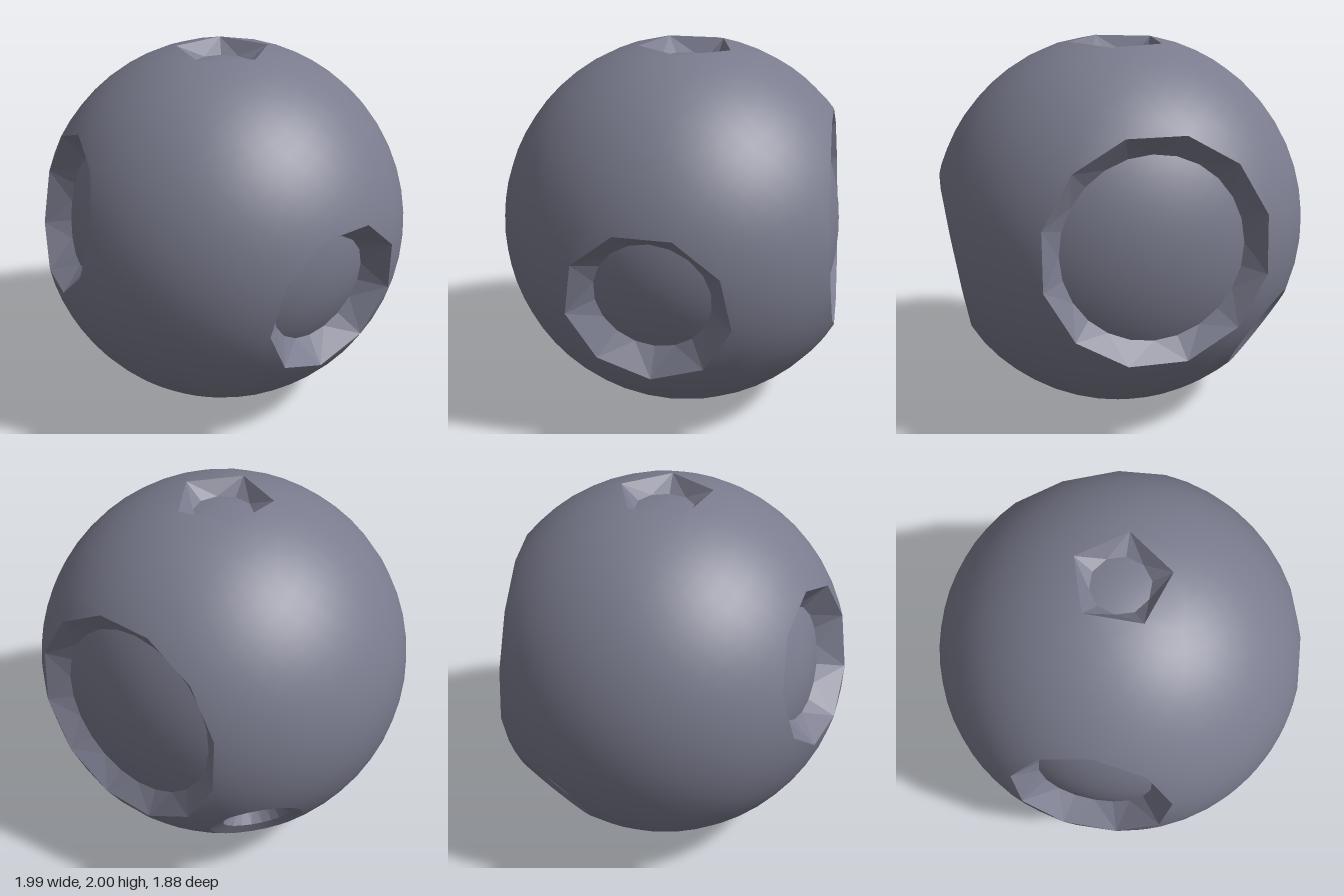
import * as THREE from 'three';
import { ConvexGeometry } from 'three/addons/geometries/ConvexGeometry.js';

const R = 1.015; // ball radius
const CENTRE = [0.02, 1.015, -0.07];

// axis: outward direction, first: direction of the first rim corner
// rim: corner radius, floor: floor radius, floorY: floor edge distance from the ball's centre
// dome: rise of the floor, shoulder + rimY: dip of the ball's skin around a sunken rim
const CRATERS = [
  { name: 'frontCrater', axis: [-0.30, 0.195, 0.934], first: [0, 1, 0], sides: 9, rim: 0.435, floor: 0.308, floorY: 0.797, dome: 0.055 },
  { name: 'leftCrater', axis: [0.985, -0.17, 0], first: [0, -1, 0], sides: 9, rim: 0.437, floor: 0.31, floorY: 0.797, dome: 0.055 },
  { name: 'backCrater', axis: [-0.07, 0.06, -0.995], first: [0.26, 0.97, 0], sides: 12, rim: 0.597, floor: 0.48, floorY: 0.737, dome: 0.11 },
  { name: 'topCrater', axis: [0, 1, 0], first: [1, 0, 0], sides: 5, rim: 0.26, floor: 0.158, floorY: 0.905, dome: 0.015 },
  { name: 'lowerFrontCrater', axis: [0.14, -0.89, 0.427], first: [1, 0, 0], sides: 20, rim: 0.143, floor: 0.115, floorY: 0.885, dome: 0.01, shoulder: 0.21, rimY: 0.968 },
  { name: 'lowerBackCrater', axis: [-0.69, -0.52, -0.504], first: [0, 1, 0], sides: 20, rim: 0.178, floor: 0.148, floorY: 0.88, dome: 0.013, shoulder: 0.25, rimY: 0.962 },
];

// Local frame of a crater: y points outward, x to the first rim corner
function craterFrame(c) {
  const y = new THREE.Vector3(...c.axis).normalize();
  const x = new THREE.Vector3(...c.first);
  x.addScaledVector(y, -x.dot(y)).normalize();
  return new THREE.Matrix4().makeBasis(x, y, x.clone().cross(y));
}

const ring = (r, y, a) => new THREE.Vector3(r * Math.cos(a), y, r * Math.sin(a));

// Smooth ball with polygonal openings where the craters sit
function shellGeometry(craters) {
  const points = [];
  const count = 1000;
  for (let i = 0; i < count; i++) {
    const y = 1 - (2 * i + 1) / count;
    const p = ring(R * Math.sqrt(1 - y * y), R * y, i * Math.PI * (3 - Math.sqrt(5)));
    if (craters.every(c => p.dot(c.dir) < c.openY - 0.012)) points.push(p);
  }
  for (const c of craters) {
    for (let k = 0; k < c.sides; k++) {
      points.push(ring(c.open, c.openY, (2 * Math.PI * k) / c.sides).applyMatrix4(c.frame));
    }
  }
  const hull = new ConvexGeometry(points).getAttribute('position');
  const kept = [];
  for (let i = 0; i < hull.count; i += 3) {
    const tri = [0, 1, 2].map(j => new THREE.Vector3().fromBufferAttribute(hull, i + j));
    // drop the flat lids that span a crater opening
    const isLid = craters.some(c => tri.every(p => p.dot(c.dir) > c.openY - 0.004));
    if (!isLid) kept.push(...tri);
  }
  const geometry = new THREE.BufferGeometry().setFromPoints(kept);
  const normals = kept.flatMap(p => p.clone().normalize().toArray());
  geometry.setAttribute('normal', new THREE.Float32BufferAttribute(normals, 3));
  return geometry;
}

// Faceted slope from the polygonal rim down to the rounder floor edge
function wallGeometry(c) {
  const step = Math.PI / c.sides;
  const tris = [];
  for (let k = 0; k < c.sides; k++) {
    const a = 2 * k * step;
    const r0 = ring(c.rim, c.rimY, a);
    const r1 = ring(c.rim, c.rimY, a + 2 * step);
    const [f0, f1, f2] = [0, 1, 2].map(j => ring(c.floor, c.floorY, a + j * step));
    tris.push(r0, f0, f1, r0, f1, r1, r1, f1, f2);
  }
  // wind the corners so the slope faces the crater's axis
  const n = tris[1].clone().sub(tris[0]).cross(tris[2].clone().sub(tris[0]));
  if (n.y < 0) tris.reverse();
  const geometry = new THREE.BufferGeometry().setFromPoints(tris);
  geometry.computeVertexNormals();
  return geometry;
}

// Gently domed floor, a spherical cap sitting on the floor edge
function floorGeometry(c) {
  const radius = (c.floor ** 2 + c.dome ** 2) / (2 * c.dome);
  const cap = new THREE.SphereGeometry(
    radius, c.sides * 2, 6, 0, Math.PI * 2, 0, Math.asin(c.floor / radius));
  return cap.translate(0, c.floorY + c.dome - radius, 0);
}

// Smooth dip from the ball's skin to a sunken rim
function shoulderGeometry(c) {
  return new THREE.LatheGeometry(
    [new THREE.Vector2(c.open, c.openY), new THREE.Vector2(c.rim, c.rimY)], c.sides);
}

export function createModel() {
  const stone = new THREE.MeshStandardMaterial({ color: 0x7a7b8d });
  stone.name = 'greyStone';
  const model = new THREE.Group();
  model.name = 'crateredBall';

  const craters = CRATERS.map(c => {
    const frame = craterFrame(c);
    const dir = new THREE.Vector3().setFromMatrixColumn(frame, 1);
    const open = c.shoulder ?? c.rim;
    const openY = Math.sqrt(R * R - open * open);
    return { ...c, frame, dir, open, openY, rimY: c.rimY ?? openY };
  });

  const add = (parent, name, geometry) => {
    const mesh = new THREE.Mesh(geometry, stone);
    mesh.name = name;
    parent.add(mesh);
  };

  add(model, 'shell', shellGeometry(craters));

  for (const c of craters) {
    const group = new THREE.Group();
    group.name = c.name;
    add(group, 'craterWall', wallGeometry(c));
    add(group, 'craterFloor', floorGeometry(c));
    if (c.shoulder) add(group, 'craterShoulder', shoulderGeometry(c));
    group.quaternion.setFromRotationMatrix(c.frame);
    model.add(group);
  }

  model.children.forEach(part => part.position.set(...CENTRE));
  return model;
}
